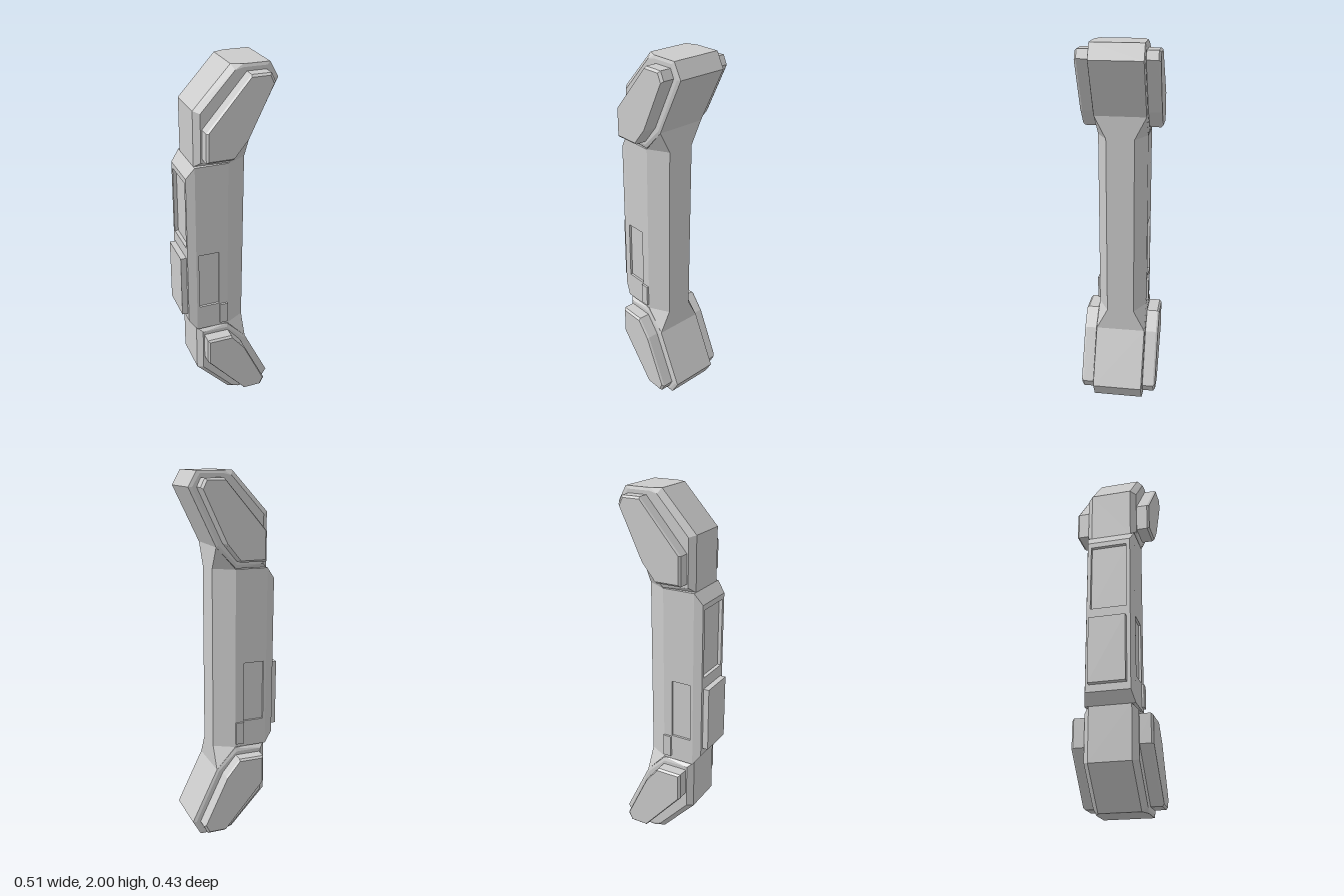
import * as THREE from 'three';
import { ConvexGeometry } from 'three/addons/geometries/ConvexGeometry.js';

const material = new THREE.MeshStandardMaterial({ color: 0xcccccc, flatShading: true });

export function createModel() {
  const model = new THREE.Group();
  model.name = 'handle';

  const add = (name, geometry) => {
    const mesh = new THREE.Mesh(geometry, material);
    mesh.name = name;
    model.add(mesh);
  };
  // Convex solid from [x, y, z] corners
  const hull = (name, points) =>
    add(name, new ConvexGeometry(points.map((p) => new THREE.Vector3(...p))));
  // Adds the z mirror of every corner
  const bothSides = (points) => points.flatMap(([x, y, z]) => [[x, y, z], [x, y, -z]]);
  const box = (name, x0, x1, y0, y1, z0, z1) =>
    add(name, new THREE.BoxGeometry(x1 - x0, y1 - y0, z1 - z0)
      .translate((x0 + x1) / 2, (y0 + y1) / 2, (z0 + z1) / 2));

  // Grip: tapered inner side
  hull('gripInner', bothSides([0.5, 1.5].flatMap((y) =>
    [[-0.05, y, 0.135], [0, y, 0.135], [0.11, y, 0.075]])));

  // Grip centre, thinner where the side panels are recessed
  box('gripCentreLower', -0.165, -0.05, 0.5, 0.65, -0.135, 0.135);
  box('sidePanelRecess', -0.165, -0.05, 0.65, 0.985, -0.122, 0.122);
  box('gripCentreUpper', -0.165, -0.05, 0.985, 1.5, -0.135, 0.135);

  // Grip outer side with chamfered edges around a recessed window
  const outer = (y, yOut) => [[-0.165, y, 0.135], [-0.18, y, 0.135], [-0.225, yOut, 0.12]];
  hull('gripOuterLower', bothSides([...outer(0.5, 0.56), ...outer(1.03, 1.03)]));
  hull('gripOuterUpper', bothSides([...outer(1.41, 1.41), ...outer(1.5, 1.44)]));
  box('windowFloor', -0.205, -0.165, 1.03, 1.41, -0.1, 0.1);
  box('rearBlock', -0.257, -0.2, 0.6, 0.965, -0.1, 0.1);
  for (const s of [1, -1]) {
    const strip = [1.03, 1.41].flatMap((y) =>
      [...outer(y, y), [-0.165, y, 0.1], [-0.225, y, 0.1]]);
    hull('windowFrame', strip.map(([x, y, z]) => [x, y, z * s]));
    box('sideTab', -0.048, -0.002, 0.52, 0.645, s > 0 ? 0.12 : -0.147, s > 0 ? 0.147 : -0.12);
  }

  // End blocks: rim corners with their half depth, and the inset side face
  const rim = [
    [-0.18, 1.5, 0.113], [-0.18, 1.79, 0.113], [0.014, 2, 0.113], [0.07, 2, 0.137],
    [0.21, 2, 0.137], [0.255, 1.92, 0.137], [0.11, 1.62, 0.137], [0, 1.505, 0.135],
  ];
  const face = [
    [-0.15, 1.525], [-0.15, 1.78], [0.028, 1.975], [0.07, 1.985],
    [0.195, 1.985], [0.235, 1.92], [0.1, 1.63], [-0.005, 1.525],
  ].map(([x, y]) => [x, y, 0.142]);
  const wedge = [[0, 1.5, 0.135], [0.11, 1.62, 0.137], [0.11, 1.5, 0.075]];

  // Raised pad outline, bevelled towards its outer face
  const pad = [
    [-0.142, 1.545], [-0.142, 1.7], [0.088, 1.965], [0.19, 1.965],
    [0.212, 1.92], [0.078, 1.64], [0, 1.545],
  ];
  const padSolid = pad.flatMap(([x, y]) => [
    [x, y, 0.13], [x, y, 0.202],
    [0.035 + (x - 0.035) * 0.94, 1.755 + (y - 1.755) * 0.95, 0.213],
  ]);

  for (const end of ['upper', 'lower']) {
    const place = (points) =>
      end === 'upper' ? points : points.map(([x, y, z]) => [x, 2 - y, z]);
    hull(end + 'EndBlock', place(bothSides([...rim, ...face])));
    hull(end + 'Transition', place(bothSides(wedge)));
    for (const s of [1, -1]) {
      hull(end + (s > 0 ? 'FrontPad' : 'BackPad'),
        place(padSolid.map(([x, y, z]) => [x, y, z * s])));
    }
  }
  return model;
}
